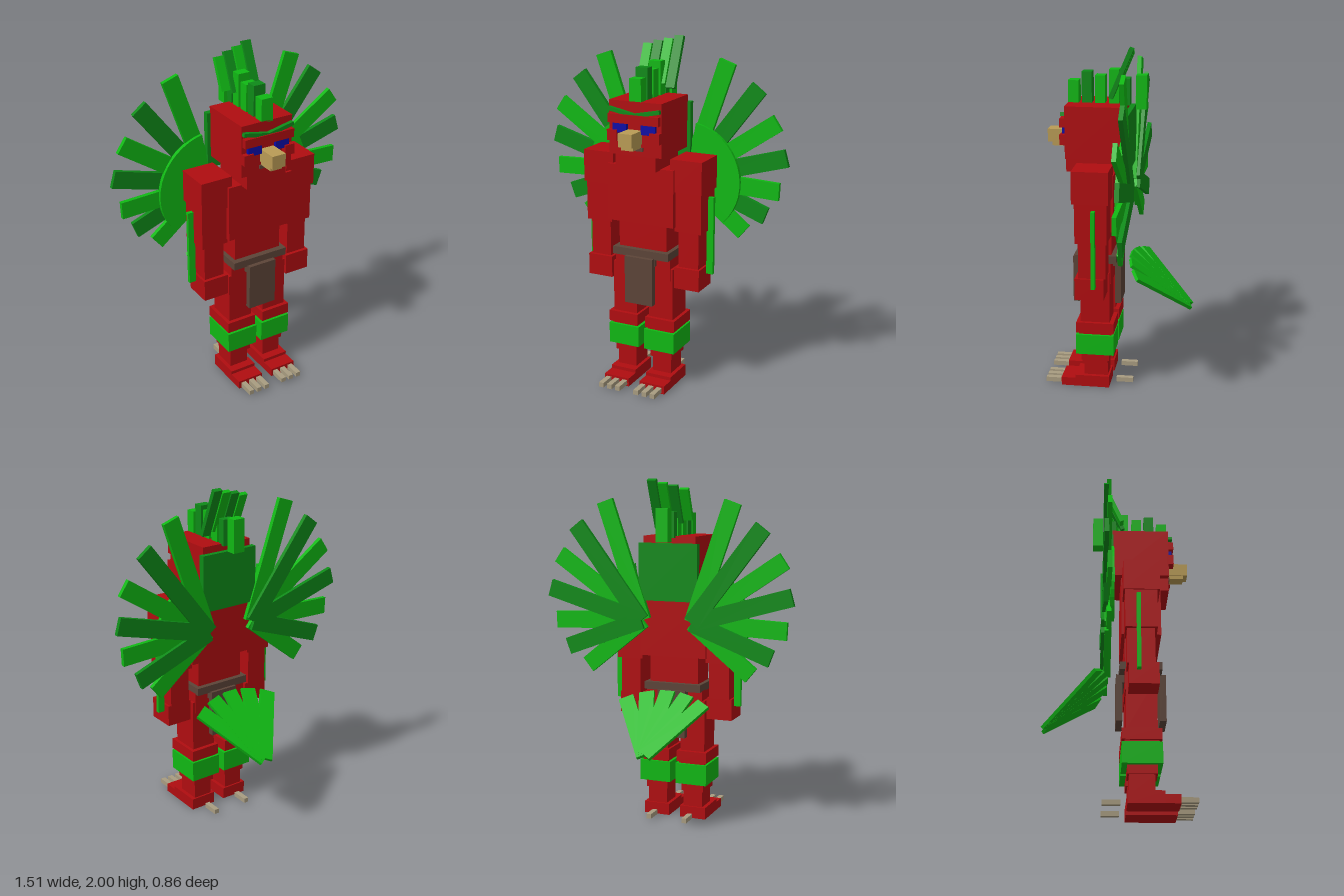
import * as THREE from 'three';

const mat = (name, color) => {
  const m = new THREE.MeshStandardMaterial({ color });
  m.name = name;
  return m;
};

export function createModel() {
  const red = mat('red', 0xb00d10);
  const green = mat('bright green', 0x10b814);
  const darkGreen = mat('dark green', 0x0e8a18);
  const brown = mat('brown', 0x5c4438);
  const tan = mat('beak tan', 0xb99b55);
  const claw = mat('claw', 0xa89c80);
  const blue = mat('eye blue', 0x0b0ba6);

  const model = new THREE.Group();
  model.name = 'birdWarrior';

  // Box given by its ranges along x, y and z
  function box(name, m, [x0, x1], [y0, y1], [z0, z1], parent = model) {
    const mesh = new THREE.Mesh(new THREE.BoxGeometry(Math.abs(x1 - x0), y1 - y0, z1 - z0), m);
    mesh.position.set((x0 + x1) / 2, (y0 + y1) / 2, (z0 + z1) / 2);
    mesh.name = name;
    parent.add(mesh);
    return mesh;
  }
  const centred = (name, m, w, y, z) => box(name, m, [-w, w], y, z);
  const pair = (name, m, [x0, x1], y, z) => {
    box(name + 'Left', m, [x0, x1], y, z);
    box(name + 'Right', m, [-x1, -x0], y, z);
  };

  // Head and neck
  centred('head', red, 0.16, [1.38, 1.68], [-0.04, 0.29]);
  centred('neck', red, 0.125, [1.3, 1.38], [0.01, 0.29]);
  centred('brow', red, 0.155, [1.56, 1.61], [0.29, 0.32]);
  pair('eye', blue, [0.045, 0.13], [1.505, 1.56], [0.29, 0.31]);
  pair('cheek', red, [0.1, 0.16], [1.46, 1.52], [0.28, 0.32]);
  centred('upperBeak', tan, 0.042, [1.45, 1.525], [0.29, 0.41]);
  centred('lowerBeak', tan, 0.036, [1.428, 1.45], [0.29, 0.385]);
  centred('mouth', brown, 0.05, [1.41, 1.43], [0.28, 0.302]);
  centred('headBackFeathers', darkGreen, 0.18, [1.31, 1.64], [-0.07, -0.035]);
  for (const s of [-1, 1]) {
    const b = box('browFeather', darkGreen, [-0.08, 0.08], [1.61, 1.632], [0.285, 0.313]);
    b.position.x = s * 0.078;
    b.rotation.z = s * 0.2;
  }

  // Crest along the middle of the head: z range, y range
  [
    [0.23, 0.29, 1.67, 1.805, green], [0.155, 0.212, 1.67, 1.855, darkGreen],
    [0.08, 0.137, 1.67, 1.835, green], [0, 0.057, 1.67, 1.87, green],
    [-0.06, -0.015, 1.67, 1.82, darkGreen], [-0.155, -0.095, 1.65, 1.84, green],
  ].forEach(([z0, z1, y0, y1, m]) => centred('crestFeather', m, 0.036, [y0, y1], [z0, z1]));

  // Row of leaning plumes
  [0.19, 0.23, 0.26, 0.3].forEach((len, i) => {
    const p = box('plume', i % 2 ? darkGreen : green, [-0.027, 0.027], [0, len], [0, 0.025]);
    p.position.set(-0.095 + i * 0.062, 1.86, -0.02);
    p.rotation.x = -0.4;
  });

  // Torso, belt and loincloth
  centred('chest', red, 0.205, [0.975, 1.305], [0.01, 0.235]);
  centred('waist', red, 0.15, [0.8, 0.98], [0.03, 0.205]);
  centred('hips', red, 0.175, [0.65, 0.78], [0.03, 0.21]);
  centred('belt', brown, 0.175, [0.775, 0.82], [0, 0.24]);
  centred('lowerBelt', brown, 0.088, [0.73, 0.775], [0, 0.235]);
  centred('frontLoincloth', brown, 0.087, [0.5, 0.78], [0.228, 0.265]);
  centred('backLoincloth', brown, 0.087, [0.5, 0.78], [-0.017, 0.018]);

  // Arms
  pair('shoulder', red, [0.178, 0.368], [1.18, 1.365], [0.015, 0.22]);
  pair('upperArm', red, [0.2, 0.36], [0.95, 1.18], [0.025, 0.205]);
  pair('forearm', red, [0.217, 0.34], [0.74, 0.95], [0.035, 0.19]);
  pair('hand', red, [0.2, 0.353], [0.615, 0.74], [0.045, 0.21]);
  pair('armFeather', green, [0.353, 0.393], [0.695, 1.145], [0.088, 0.11]);

  // Legs and feet
  pair('thigh', red, [0.04, 0.19], [0.41, 0.72], [0.035, 0.207]);
  pair('knee', red, [0.025, 0.21], [0.35, 0.415], [0.01, 0.23]);
  pair('underKnee', red, [0.035, 0.195], [0.33, 0.355], [0.025, 0.215]);
  pair('shinGuard', green, [0.018, 0.21], [0.215, 0.338], [0.01, 0.232]);
  pair('shin', red, [0.045, 0.182], [0.165, 0.215], [0.04, 0.205]);
  pair('ankle', red, [0.055, 0.172], [0.05, 0.165], [0.05, 0.19]);
  pair('heel', red, [0.035, 0.195], [0, 0.07], [0.04, 0.24]);
  pair('foot', red, [0.035, 0.195], [0, 0.05], [0.2, 0.325]);
  for (const x of [0.06, 0.112, 0.165]) pair('toeClaw', claw, [x - 0.015, x + 0.015], [0.01, 0.038], [0.3, 0.42]);
  pair('heelClaw', claw, [0.097, 0.127], [0.01, 0.038], [-0.095, 0.005]);

  // Wings: a fan of seven feathers behind a pie-shaped covert
  const rad = THREE.MathUtils.degToRad;
  for (const s of [-1, 1]) {
    const wing = new THREE.Group();
    wing.name = s > 0 ? 'leftWing' : 'rightWing';
    wing.position.set(s * 0.155, 1.195, 0);
    model.add(wing);
    for (let i = 0; i < 7; i++) {
      const a = rad(71 - i * 18.3);
      const len = [0.72, 0.683, 0.647, 0.61, 0.556, 0.504, 0.45][i];
      const z = i % 2 ? -0.087 : -0.068;
      const f = box('wingFeather', i % 2 ? darkGreen : green,
        [-len / 2, len / 2], [-0.05, 0.05], [z - 0.0125, z + 0.0125], wing);
      f.position.x = s * Math.cos(a) * len / 2;
      f.position.y = Math.sin(a) * len / 2;
      f.rotation.z = s * a;
    }
    const pie = new THREE.Shape();
    pie.moveTo(0, 0);
    for (let i = 0; i <= 16; i++) {
      const a = rad(80 - i * 7.8);
      pie.lineTo(s * 0.33 * Math.cos(a), 0.33 * Math.sin(a));
    }
    pie.closePath();
    const covert = new THREE.Mesh(
      new THREE.ExtrudeGeometry(pie, { depth: 0.024, bevelEnabled: false }), green);
    covert.name = 'wingCovert';
    covert.position.z = -0.061;
    wing.add(covert);
  }

  // Tail: five feathers fanning out from one tilted root
  const tail = new THREE.Group();
  tail.name = 'tail';
  tail.position.set(0, 0.485, -0.41);
  tail.rotation.x = 0.855;
  model.add(tail);
  for (let i = -2; i <= 2; i++) {
    const f = box('tailFeather', green, [-0.045, 0.045], [0, 0.455], [-0.01, 0.01], tail);
    const a = i * rad(16);
    f.position.set(Math.sin(a) * 0.2275, Math.cos(a) * 0.2275, i * 0.0005);
    f.rotation.z = -a;
  }

  return model;
}
